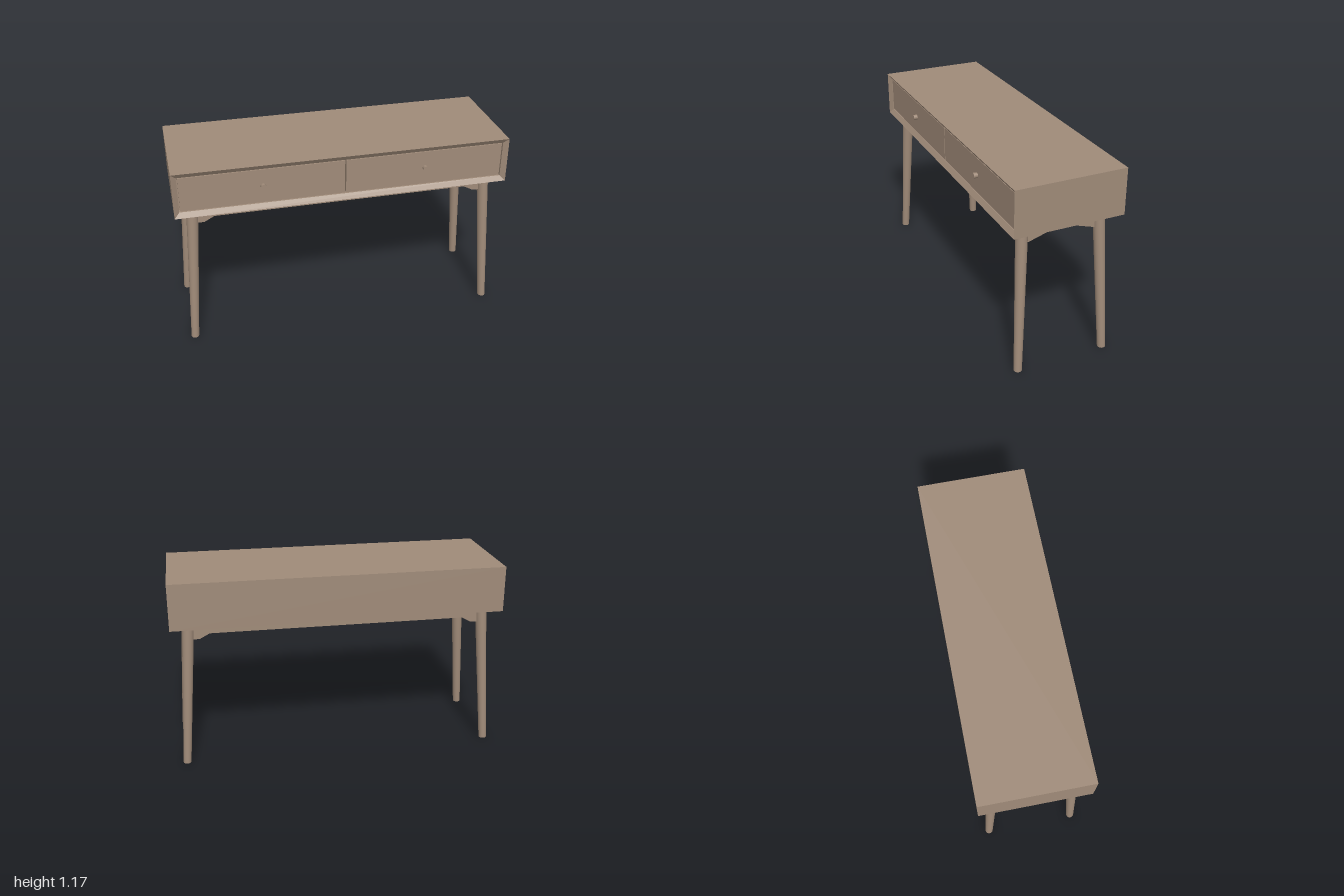
import * as THREE from 'three';

const wood = new THREE.MeshStandardMaterial({ name: 'walnut wood', color: 0xa08b79 });

function add(parent, geometry, name, x = 0, y = 0, z = 0) {
  const mesh = new THREE.Mesh(geometry, wood);
  mesh.name = name;
  mesh.position.set(x, y, z);
  parent.add(mesh);
  return mesh;
}

// Flat-shaded skin through rectangles [half width, bottom, top, z], closed at both ends
function rectLoft(sections) {
  const pos = [];
  const rings = sections.map(([w, b, t, z]) => [[-w, b, z], [w, b, z], [w, t, z], [-w, t, z]]);
  const quad = (a, b, c, d) => pos.push(...a, ...b, ...c, ...a, ...c, ...d);
  for (let i = 0; i + 1 < rings.length; i++) {
    for (let k = 0; k < 4; k++) {
      const n = (k + 1) % 4;
      quad(rings[i][k], rings[i][n], rings[i + 1][n], rings[i + 1][k]);
    }
  }
  const first = rings[0], last = rings[rings.length - 1];
  quad(first[3], first[2], first[1], first[0]);
  quad(last[0], last[1], last[2], last[3]);
  const geometry = new THREE.BufferGeometry();
  geometry.setAttribute('position', new THREE.Float32BufferAttribute(pos, 3));
  geometry.computeVertexNormals();
  return geometry;
}

// Leg that leans by shearing, so foot and top stay level
function legGeometry(sx, sz) {
  const height = 0.886;
  const profile = new THREE.CylinderGeometry(0.035, 0.024, height, 24);
  profile.translate(0, height / 2, 0);
  const lean = new THREE.Matrix4().set(
    1, -sx * 0.059 / height, 0, sx * 0.952,
    0, 1, 0, 0,
    0, -sz * 0.039 / height, 1, sz * 0.274,
    0, 0, 0, 1);
  return profile.applyMatrix4(lean);
}

// Rail with a raised lower edge; outline is the lower edge of the +x half
function apronGeometry(halfLength, edge, thickness) {
  const shape = new THREE.Shape();
  shape.moveTo(-halfLength, 0.886);
  edge.forEach(([x, y]) => shape.lineTo(-x, y));
  [...edge].reverse().forEach(([x, y]) => shape.lineTo(x, y));
  shape.lineTo(halfLength, 0.886);
  const geometry = new THREE.ExtrudeGeometry(shape, { depth: thickness, bevelEnabled: false });
  return geometry.translate(0, 0, -thickness / 2);
}

export function createModel() {
  const model = new THREE.Group();
  model.name = 'consoleTable';

  // Cabinet with a bevelled front frame and a recess for the drawers
  add(model, rectLoft([
    [1, 0.886, 1.166, -0.333],
    [1, 0.886, 1.166, 0.333],
    [0.97, 0.916, 1.136, 0.313],
    [0.97, 0.916, 1.136, 0.285],
  ]), 'cabinet');

  // Drawers and knobs
  const knob = new THREE.CylinderGeometry(0.017, 0.015, 0.03, 20).rotateX(Math.PI / 2);
  for (const side of [-1, 1]) {
    const drawer = new THREE.Group();
    drawer.name = side > 0 ? 'leftDrawer' : 'rightDrawer';
    add(drawer, new THREE.BoxGeometry(0.96, 0.21, 0.028), 'drawerFront', side * 0.4835, 1.026, 0.298);
    add(drawer, knob, 'knob', side * 0.485, 1.028, 0.322);
    model.add(drawer);
  }

  // Four splayed legs
  for (const sx of [-1, 1]) {
    for (const sz of [-1, 1]) {
      add(model, legGeometry(sx, sz), `${sz > 0 ? 'front' : 'back'}${sx > 0 ? 'Left' : 'Right'}Leg`);
    }
  }

  // Aprons between the legs
  const longApron = apronGeometry(0.893, [[0.893, 0.797], [0.83, 0.797], [0.77, 0.829]], 0.024);
  const shortApron = apronGeometry(0.236, [[0.236, 0.793], [0.2, 0.793], [0.09, 0.827]], 0.024);
  shortApron.rotateY(Math.PI / 2);
  for (const side of [-1, 1]) {
    add(model, longApron, side > 0 ? 'frontApron' : 'backApron', 0, 0, side * 0.237);
    add(model, shortApron, side > 0 ? 'leftApron' : 'rightApron', side * 0.895, 0, 0);
  }
  return model;
}
